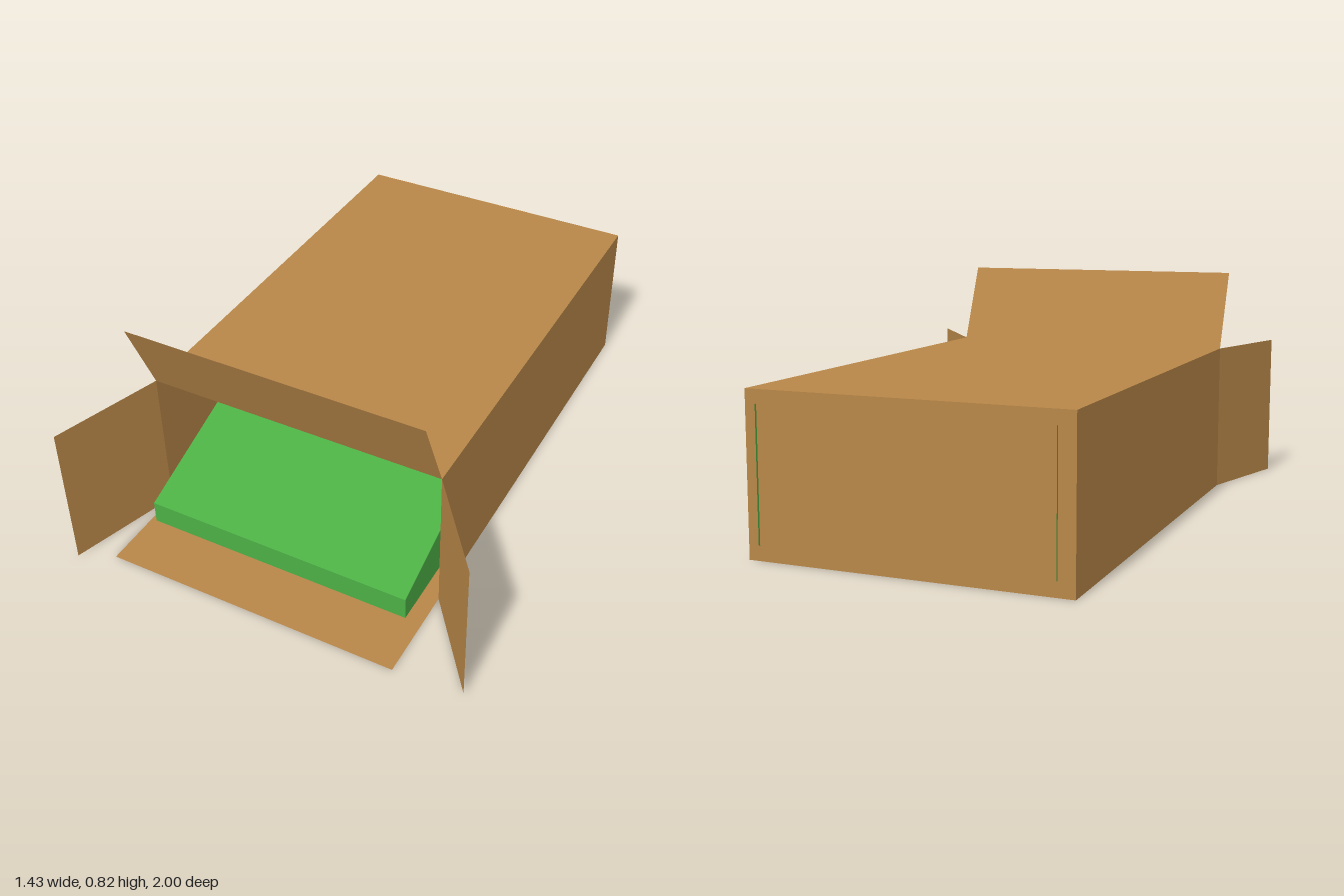
import * as THREE from 'three';

const material = (name, color) => {
  const m = new THREE.MeshStandardMaterial({ color, side: THREE.DoubleSide });
  m.name = name;
  return m;
};

// Flat convex sheet, corners listed counter-clockwise as seen from outside
function panel(parent, name, mat, corners) {
  const points = [];
  for (let i = 1; i < corners.length - 1; i++) {
    points.push(...corners[0], ...corners[i], ...corners[i + 1]);
  }
  const geometry = new THREE.BufferGeometry();
  geometry.setAttribute('position', new THREE.Float32BufferAttribute(points, 3));
  geometry.computeVertexNormals();
  const mesh = new THREE.Mesh(geometry, mat);
  mesh.name = name;
  parent.add(mesh);
}

export function createModel() {
  const model = new THREE.Group();
  model.name = 'openCarton';
  const cardboard = material('cardboard brown', 0xb88748);
  const green = material('green', 0x4caf45);

  // Carton body, open at the front
  const carton = new THREE.Group();
  carton.name = 'carton';
  model.add(carton);
  const L = -0.595, R = 0.475, H = 0.535, B = -0.99, F = 0.61;
  panel(carton, 'floor', cardboard, [[L, 0, B], [R, 0, B], [R, 0, F], [L, 0, F]]);
  panel(carton, 'roof', cardboard, [[L, H, F], [R, H, F], [R, H, B], [L, H, B]]);
  panel(carton, 'backWall', cardboard, [[R, 0, B], [L, 0, B], [L, H, B], [R, H, B]]);
  panel(carton, 'leftWall', cardboard, [[R, 0, F], [R, 0, B], [R, H, B], [R, H, F]]);
  panel(carton, 'rightWall', cardboard, [[L, 0, B], [L, 0, F], [L, H, F], [L, H, B]]);

  // Four flaps folded outward around the opening
  const flaps = new THREE.Group();
  flaps.name = 'flaps';
  model.add(flaps);
  panel(flaps, 'topFlap', cardboard, [[L, 0.818, 0.73], [R, 0.818, 0.73], [R, H, F], [L, H, F]]);
  panel(flaps, 'bottomFlap', cardboard, [[L, 0, F], [R, 0, F], [R, 0, 0.945], [L, 0, 0.945]]);
  panel(flaps, 'leftFlap', cardboard, [[0.713, 0, 0.925], [R, 0, F], [R, H, F], [0.713, H, 0.925]]);
  panel(flaps, 'rightFlap', cardboard, [[L, 0, F], [-0.713, 0, 1], [-0.713, H, 1], [L, H, F]]);

  // Wedge-nosed insert: a side profile in [y, z], joined by sheets
  const insert = new THREE.Group();
  insert.name = 'insert';
  model.add(insert);
  const l = -0.54, r = 0.435, inner = -0.98;
  const profile = [[0.05, -0.998], [0.05, 0.775], [0.133, 0.775], [0.49, -0.22], [0.49, -0.998]];
  panel(insert, 'insertRightSide', green, profile.map(([y, z]) => [l, y, z]));
  panel(insert, 'insertLeftSide', green, profile.map(([y, z]) => [r, y, z]).reverse());
  ['insertBottom', 'insertFront', 'insertSlope', 'insertTop'].forEach((name, i) => {
    const [y0, z0] = profile[i], [y1, z1] = profile[i + 1];
    const a = Math.max(z0, inner), b = Math.max(z1, inner);
    panel(insert, name, green, [[l, y0, a], [r, y0, a], [r, y1, b], [l, y1, b]]);
  });

  return model;
}
